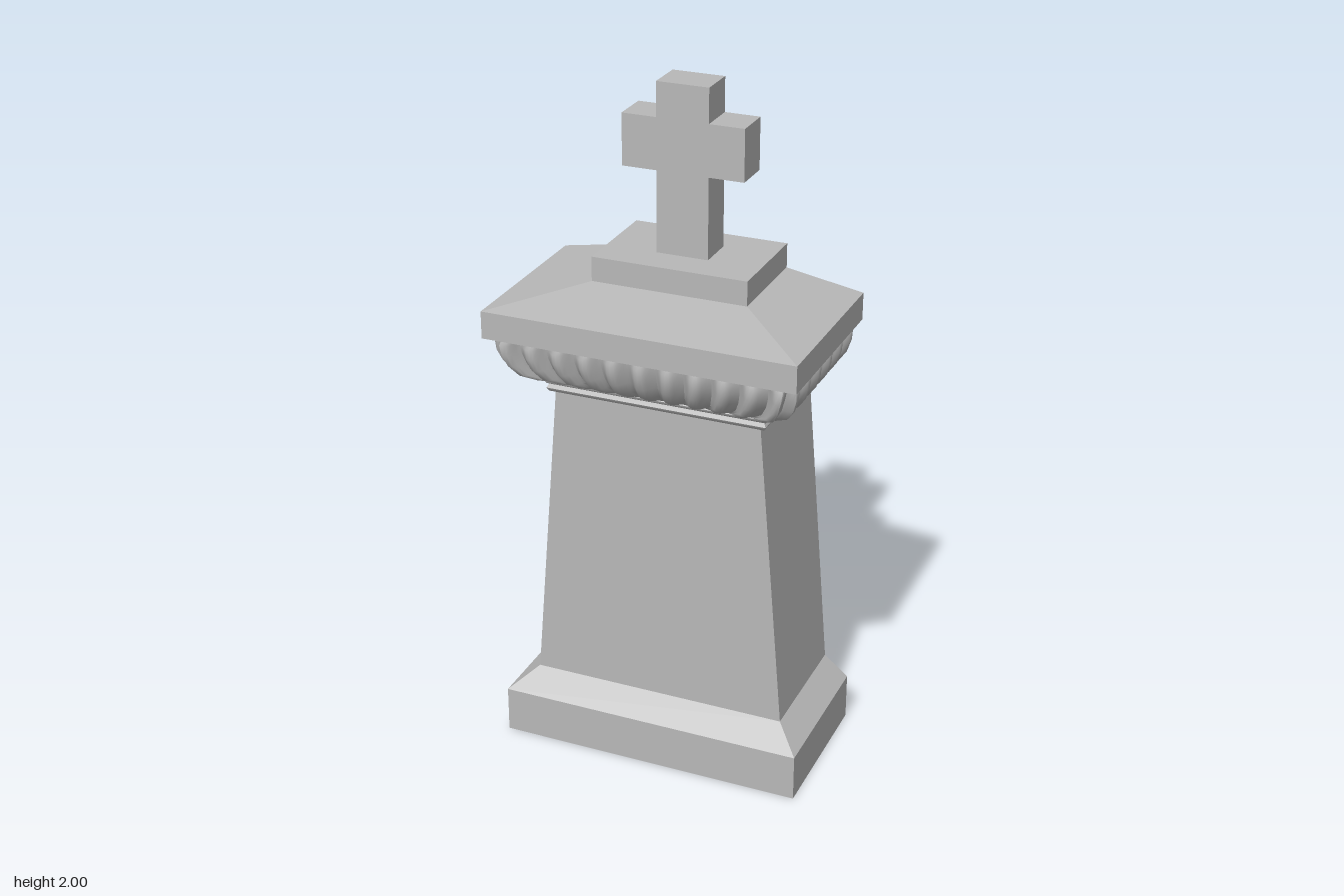
import * as THREE from 'three';
import { toCreasedNormals } from 'three/addons/utils/BufferGeometryUtils.js';

const BACK = -0.265;

// Three-sided outline (left, front, right) at one height; the back stays flat.
// Lobes are scooped inward between nx leaves in front and nz leaves per side.
function ring([hw, front, y, dip = 0], nx, nz, steps) {
  const points = [];
  const scoop = (t, n) => (n ? dip * Math.pow(Math.abs(Math.cos(Math.PI * n * t)), 3) : 0);
  const depth = front - BACK;
  const sideN = Math.max(1, nz * steps), frontN = Math.max(1, nx * steps);
  const trim = scoop(0, nx);
  for (let i = 0; i < sideN; i++) {
    const t = i / sideN;
    points.push([-hw + scoop(t, nz), y, Math.min(BACK + depth * t, front - trim)]);
  }
  for (let i = 0; i <= frontN; i++) {
    const t = i / frontN;
    const x = THREE.MathUtils.clamp(-hw + 2 * hw * t, -hw + trim, hw - trim);
    points.push([x, y, front - scoop(t, nx)]);
  }
  for (let i = sideN - 1; i >= 0; i--) {
    const t = i / sideN;
    points.push([hw - scoop(t, nz), y, Math.min(BACK + depth * t, front - trim)]);
  }
  return points;
}

// Closed solid through sections of [half width, front z, height, scoop depth].
function loft(sections, crease = 0.5, nx = 0, nz = 0, steps = 1) {
  const rings = sections.map((s) => ring(s, nx, nz, steps));
  const n = rings[0].length;
  const pos = [];
  const tri = (a, b, c) => pos.push(...a, ...b, ...c);
  for (let j = 0; j < rings.length - 1; j++) {
    for (let i = 0; i < n; i++) {
      const k = (i + 1) % n;
      tri(rings[j][i], rings[j][k], rings[j + 1][k]);
      tri(rings[j][i], rings[j + 1][k], rings[j + 1][i]);
    }
  }
  // Flat caps
  const bottom = rings[0], top = rings[rings.length - 1];
  const mid = (s) => [0, s[2], (s[1] + BACK) / 2];
  for (let i = 0; i < n; i++) {
    const k = (i + 1) % n;
    tri(mid(sections[0]), bottom[k], bottom[i]);
    tri(mid(sections[sections.length - 1]), top[i], top[k]);
  }
  const geometry = new THREE.BufferGeometry();
  geometry.setAttribute('position', new THREE.Float32BufferAttribute(pos, 3));
  return toCreasedNormals(geometry, crease);
}

export function createModel() {
  const group = new THREE.Group();
  const stone = new THREE.MeshStandardMaterial({ color: 0xb8b8b8 });
  stone.name = 'grey stone';
  const add = (name, geometry) => {
    const mesh = new THREE.Mesh(geometry, stone);
    mesh.name = name;
    group.add(mesh);
    return mesh;
  };

  // Footing with a sloped shoulder
  add('base', loft([[0.458, 0.2, 0], [0.458, 0.2, 0.14], [0.385, 0.125, 0.2]]));

  // Tapered slab
  add('shaft', loft([[0.385, 0.125, 0.2], [0.307, 0.125, 1.135]]));

  // Rounded moulding under the cornice
  add('collar', loft([
    [0.305, 0.122, 1.125], [0.322, 0.136, 1.13], [0.328, 0.142, 1.141], [0.322, 0.136, 1.152],
    [0.329, 0.142, 1.156], [0.332, 0.145, 1.164], [0.325, 0.138, 1.17],
  ], 0.9));

  // Ovolo carved with a row of leaves
  add('leafCornice', loft([
    [0.335, 0.145, 1.165, 0.005], [0.37, 0.18, 1.178, 0.02], [0.405, 0.215, 1.2, 0.03],
    [0.43, 0.24, 1.235, 0.034], [0.442, 0.252, 1.27, 0.034], [0.444, 0.254, 1.3, 0.028],
    [0.435, 0.245, 1.325, 0.015],
  ], 1.0, 11, 6, 8));

  // Overhanging slab with sloping top
  add('capSlab', loft([[0.458, 0.268, 1.32], [0.458, 0.268, 1.4], [0.23, 0.04, 1.44]], 0.1));

  // Block carrying the cross
  add('crossPlinth', loft([[0.23, 0.04, 1.43], [0.23, 0.04, 1.512]]));

  // Cross cut from one outline
  const outline = [
    [-0.078, 1.5], [0.075, 1.5], [0.075, 1.75], [0.178, 1.75], [0.178, 1.9], [0.075, 1.9],
    [0.075, 2], [-0.078, 2], [-0.078, 1.9], [-0.18, 1.9], [-0.18, 1.75], [-0.078, 1.75],
  ];
  const shape = new THREE.Shape(outline.map(([x, y]) => new THREE.Vector2(x, y)));
  const cross = add('cross', new THREE.ExtrudeGeometry(shape, { depth: 0.113, bevelEnabled: false }));
  cross.position.z = -0.173;

  return group;
}
